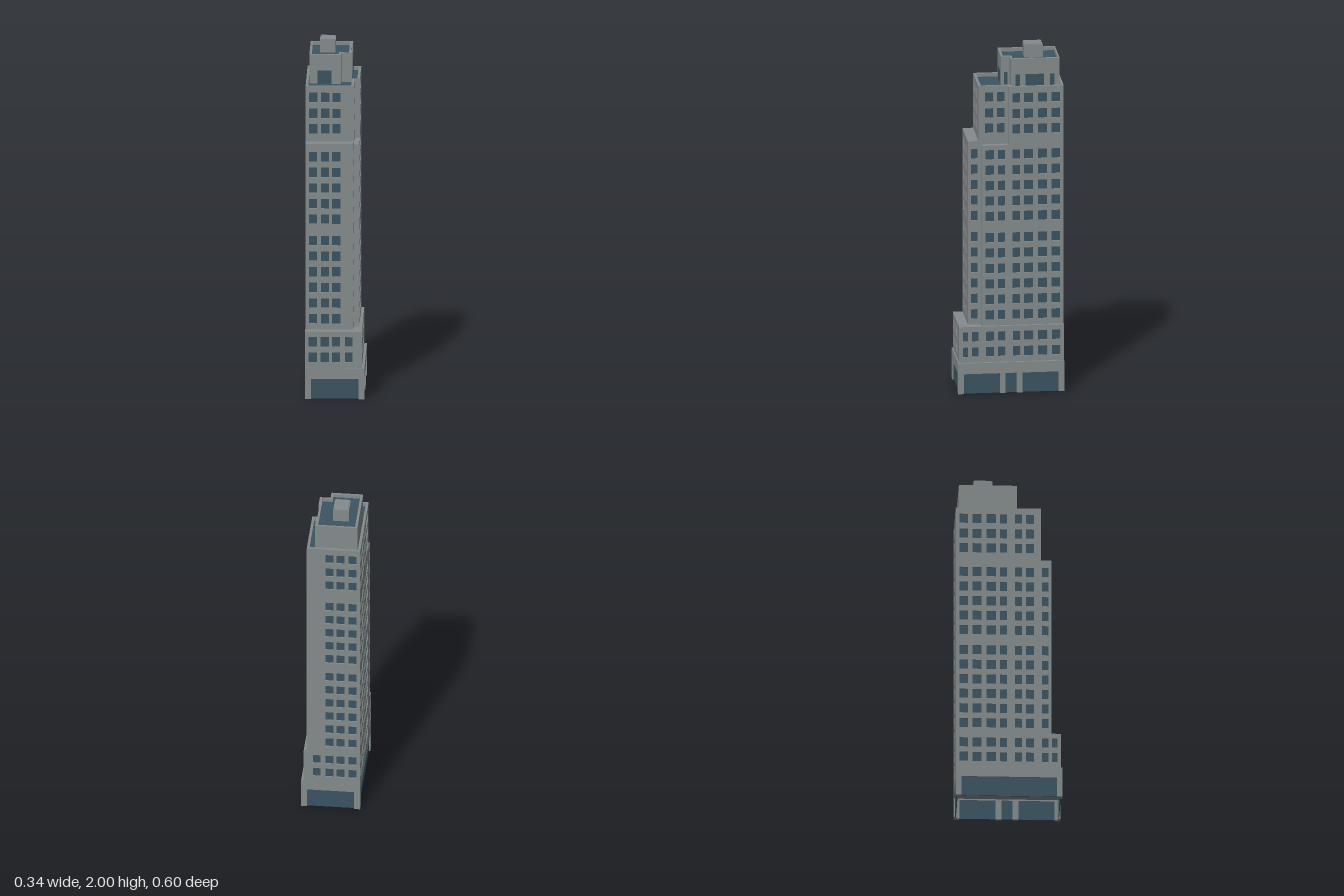
import * as THREE from 'three';

const WALL = 0.015;    // wall and parapet thickness
const RECESS = 0.008;  // depth of the glass behind the wall face
const X = 0.168, Z = 0.302;  // half size of the plot
const ROOF = 1.793;

export function createModel() {
  const model = new THREE.Group();
  const stone = new THREE.MeshStandardMaterial({ color: 0x858b8c });
  stone.name = 'stone';
  const glass = new THREE.MeshStandardMaterial({ color: 0x3b5462 });
  glass.name = 'glass';

  const add = (name, geometry, material) => {
    const mesh = new THREE.Mesh(geometry, material);
    mesh.name = name;
    model.add(mesh);
  };
  const box = (name, material, x0, x1, y0, y1, z0, z1) => {
    const g = new THREE.BoxGeometry(x1 - x0, y1 - y0, z1 - z0);
    g.translate((x0 + x1) / 2, (y0 + y1) / 2, (z0 + z1) / 2);
    add(name, g, material);
  };
  // Shapes always run counter-clockwise so that holes face the right way
  const shapeOf = (points) => {
    const v = points.map(([a, b]) => new THREE.Vector2(a, b));
    return new THREE.Shape(THREE.ShapeUtils.isClockWise(v) ? v.reverse() : v);
  };
  const rect = (a0, a1, b0, b1) => [[a0, b0], [a1, b0], [a1, b1], [a0, b1]];

  // Wall panel with window holes; outline is [x or z, y], offset is the outer face
  const SIDES = {
    front: { sign: 1, turn: 0, dir: [0, 0, 1] },
    back: { sign: -1, turn: Math.PI, dir: [0, 0, -1] },
    right: { sign: -1, turn: Math.PI / 2, dir: [1, 0, 0] },
    left: { sign: 1, turn: -Math.PI / 2, dir: [-1, 0, 0] },
  };
  const wall = (name, side, offset, outline, holes = []) => {
    const { sign, turn, dir } = SIDES[side];
    const flip = (pts) => pts.map(([a, b]) => [a * sign, b]);
    const shape = shapeOf(flip(outline));
    for (const h of holes) shape.holes.push(shapeOf(flip(rect(...h))));
    const g = new THREE.ExtrudeGeometry(shape, { depth: WALL, bevelEnabled: false });
    g.translate(0, 0, -WALL).rotateY(turn);
    g.translate(dir[0] * offset, 0, dir[2] * offset);
    add(name, g, stone);
  };

  // Window grids
  const lowRows = [0.241, 0.331];
  const midRows = [0.452, 0.543, 0.634, 0.725, 0.816, 0.907, 1.032, 1.122, 1.213, 1.304, 1.395];
  const topRows = [1.543, 1.633, 1.726];
  const frontCols = [[-0.148, -0.101], [-0.08, -0.033], [-0.016, 0.03]];
  const frontLowCols = [...frontCols, [0.057, 0.1]];
  const bayCols = [[-0.281, -0.233], [-0.207, -0.155], [-0.127, -0.075], [-0.053, -0.011]];
  const midCols = [[0.032, 0.073], [0.095, 0.142]];
  const cornerCol = [[0.185, 0.222]];
  const sideTopCols = [...bayCols, ...midCols];
  const sideMidCols = [...sideTopCols, ...cornerCol];
  const sideLowCols = [...sideMidCols, [0.244, 0.274]];
  const grid = (cols, rows) =>
    rows.flatMap((y) => cols.map(([a, b]) => [a, b, y - 0.028, y + 0.028]));

  // Ground floor piers and lintels, open down to the pavement
  const baseWall = (name, side, offset, half, openings) => wall(name, side, offset, [
    [-half, 0],
    ...openings.flatMap(([a, b]) => [[a, 0], [a, 0.117], [b, 0.117], [b, 0]]),
    [half, 0], [half, 0.18], [-half, 0.18]]);
  baseWall('baseFrontWall', 'front', Z, X, [[-0.134, 0.134]]);
  baseWall('baseBackWall', 'back', Z, X, [[-0.134, 0.134]]);
  baseWall('baseLeftWall', 'left', X, Z, [[-0.27, 0.27]]);
  baseWall('baseRightWall', 'right', X, Z, [[-0.27, -0.064], [-0.032, 0.032], [0.064, 0.27]]);

  // Front walls, from the street up
  wall('podiumFrontWall', 'front', 0.295, rect(-X, 0.153, 0.18, 0.39), grid(frontLowCols, lowRows));
  wall('shaftFrontWall', 'front', 0.24, rect(-X, 0.105, 0.39, 1.47), grid(frontCols, midRows));
  wall('upperFrontWall', 'front', 0.18, rect(-X, 0.105, 1.46, ROOF), grid(frontCols, topRows));
  wall('bayFrontWall', 'front', 0.165, rect(0.09, 0.136, 0.39, 1.45));
  wall('upperBayFrontWall', 'front', 0.012, rect(0.09, 0.136, 1.44, ROOF));

  // Right walls
  wall('podiumRightWall', 'right', 0.153, rect(-Z, 0.295, 0.18, 0.39), grid(sideLowCols, lowRows));
  wall('shaftRightWall', 'right', 0.105, rect(0.15, 0.24, 0.39, 1.47), grid(cornerCol, midRows));
  wall('bayRightWall', 'right', 0.136,
    [[-Z, 0.39], [0.165, 0.39], [0.165, 1.45], [0.012, 1.45], [0.012, ROOF], [-Z, ROOF]],
    [...grid(sideTopCols, midRows), ...grid(bayCols, topRows)]);
  wall('upperRightWall', 'right', 0.105, rect(0, 0.18, 1.44, ROOF), grid(midCols, topRows));

  // Left and back walls rise flush through the upper tiers
  wall('leftWall', 'left', X,
    [[-Z, 0.18], [0.295, 0.18], [0.295, 0.39], [0.24, 0.39],
      [0.24, 1.47], [0.18, 1.47], [0.18, ROOF], [-Z, ROOF]],
    [...grid(sideLowCols, lowRows), ...grid(sideMidCols, midRows), ...grid(sideTopCols, topRows)]);
  wall('backWall', 'back', Z,
    [[-X, 0.18], [0.153, 0.18], [0.153, 0.39], [0.136, 0.39], [0.136, ROOF], [-X, ROOF]],
    [...grid(frontLowCols, lowRows), ...grid(frontCols, midRows), ...grid(frontCols, topRows)]);

  // Glass cores behind the windows; the tallest two form the sunken roof
  const core = (name, x1, z1, y0, y1) =>
    box(name, glass, -X + RECESS, x1 - RECESS, y0, y1, -Z + RECESS, z1 - RECESS);
  core('podiumGlass', 0.153, 0.295, 0.17, 0.38);
  core('shaftGlass', 0.105, 0.24, 0.37, 1.46);
  core('bayGlass', 0.136, 0.165, 0.37, 1.44);
  core('upperRoof', 0.105, 0.18, 1.4, 1.773);
  core('bayRoof', 0.136, 0.012, 1.4, 1.773);

  // Shop glass around the hollow ground floor
  for (const s of [-1, 1]) {
    const x = s * (X - RECESS - 0.002), z = s * (Z - RECESS - 0.002);
    box('shopSideGlass', glass, x - 0.002, x + 0.002, 0.001, 0.13, -0.29, 0.29);
    box('shopEndGlass', glass, -0.156, 0.156, 0.001, 0.13, z - 0.002, z + 0.002);
  }
  box('shopCeiling', stone, -0.166, 0.166, 0.125, 0.18, -0.3, 0.3);

  // Setback ledges
  box('podiumLedge', stone, -0.166, 0.153, 0.375, 0.39, -0.3, 0.295);
  box('shaftLedge', stone, -0.166, 0.105, 1.455, 1.47, 0.17, 0.24);
  box('bayLedge', stone, 0.092, 0.136, 1.435, 1.45, 0, 0.165);

  // Penthouse with parapet, plan given as [x, z]
  const upright = (name, material, plan, hole, y0, y1) => {
    const toShape = (pts) => shapeOf(pts.map(([x, z]) => [x, -z]));
    const shape = toShape(plan);
    if (hole) shape.holes.push(toShape(hole));
    const g = new THREE.ExtrudeGeometry(shape, { depth: y1 - y0, bevelEnabled: false });
    g.rotateX(-Math.PI / 2).translate(0, y0, 0);
    add(name, g, material);
  };
  const outer = [[-0.15, -0.284], [0.091, -0.284], [0.091, -0.215], [0.086, -0.215], [0.086, -0.075],
    [0.091, -0.075], [0.091, -0.006], [0.03, -0.006], [0.03, 0.044], [-0.15, 0.044]];
  const inner = [[-0.136, -0.274], [0.073, -0.274], [0.073, -0.018], [0.016, -0.018],
    [0.016, 0.03], [-0.136, 0.03]];
  upright('penthouseWalls', stone, outer, inner, 1.76, 1.942);
  upright('penthouseRoof', glass, inner, null, 1.9, 1.922);

  // Penthouse windows
  box('penthouseFrontWindow', glass, -0.103, -0.024, 1.77, 1.85, 0.041, 0.045);
  for (const [x, z0, z1] of [[0.03, 0.005, 0.026], [0.091, -0.058, -0.032],
    [0.086, -0.196, -0.09], [0.091, -0.254, -0.228]]) {
    box('penthouseSideWindow', glass, x - 0.003, x + 0.001, 1.77, 1.85, z0, z1);
  }

  // Roof plant box with a small stepped cap
  box('roofBox', stone, -0.093, -0.004, 1.91, 1.994, -0.199, -0.092);
  box('roofBoxCap', stone, -0.087, -0.009, 1.99, 2, -0.195, -0.096);

  return model;
}
